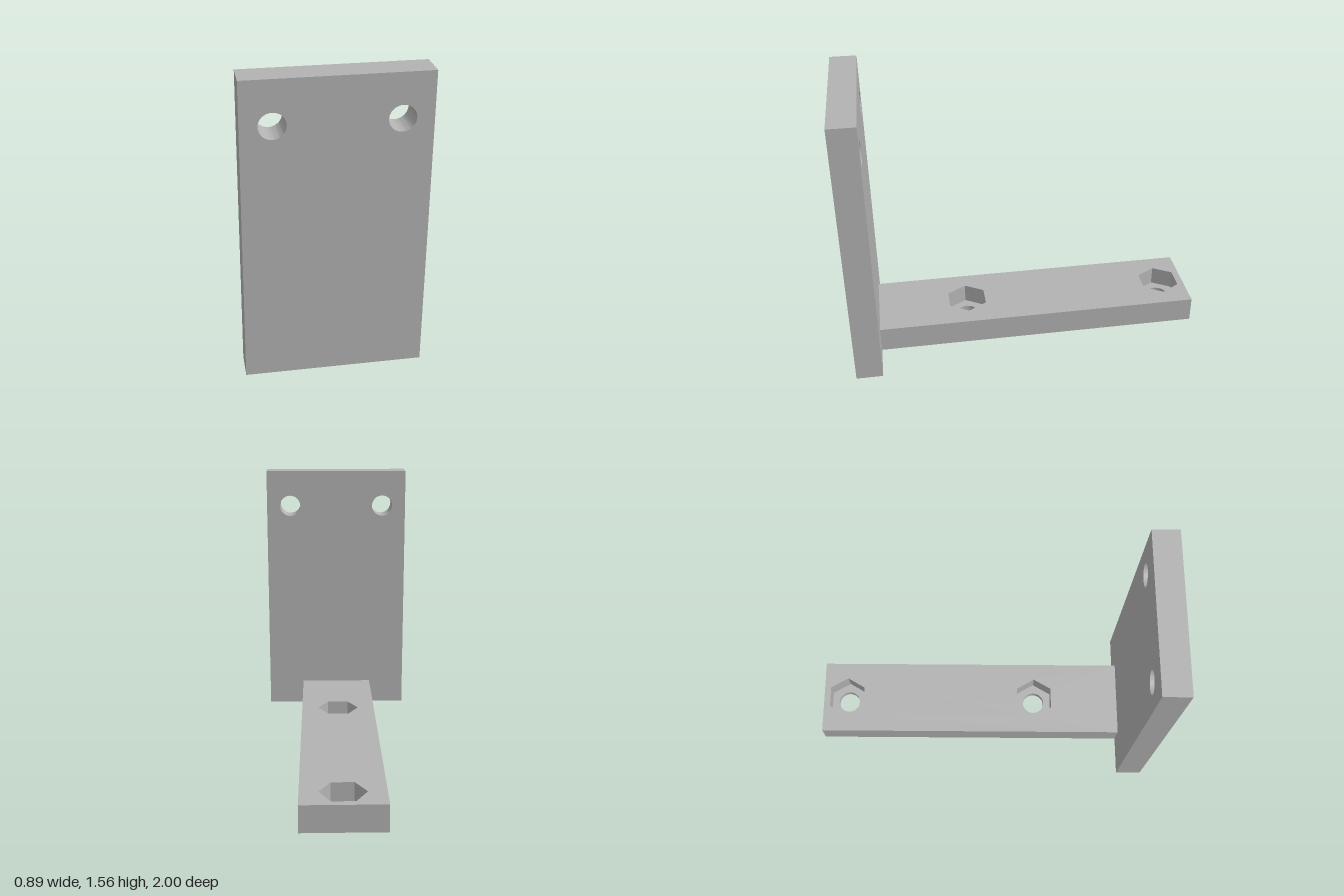
import * as THREE from 'three';
import { toCreasedNormals } from 'three/addons/utils/BufferGeometryUtils.js';

const WIDTH = 0.889, HEIGHT = 1.556, THICK = 0.148;
const ARM_WIDTH = 0.444, FLOOR = 0.037;
const HOLE_R = 0.065, NUT_R = 0.123;
const BACK = -1, PLATE_BACK = 1 - THICK;

function rectangle(x0, y0, x1, y1) {
  return new THREE.Shape([
    new THREE.Vector2(x0, y0), new THREE.Vector2(x1, y0),
    new THREE.Vector2(x1, y1), new THREE.Vector2(x0, y1),
  ]);
}

function roundHole(x, y) {
  return new THREE.Path().absarc(x, y, HOLE_R, 0, Math.PI * 2, true);
}

// Hexagon with two corners pointing sideways
function hexHole(x, y) {
  const points = [];
  for (let i = 0; i < 6; i++) {
    const a = -i * Math.PI / 3;
    points.push(new THREE.Vector2(x + NUT_R * Math.cos(a), y + NUT_R * Math.sin(a)));
  }
  return new THREE.Path(points);
}

function extrude(shape, depth) {
  const geometry = new THREE.ExtrudeGeometry(shape, { depth, bevelEnabled: false, curveSegments: 24 });
  return toCreasedNormals(geometry, Math.PI / 6);
}

export function createModel() {
  const model = new THREE.Group();
  model.name = 'bracket';
  const grey = new THREE.MeshStandardMaterial({ color: 0xb2b2b2 });
  grey.name = 'grey';

  // Upright plate with two screw holes near the top
  const plateShape = rectangle(-WIDTH / 2, 0, WIDTH / 2, HEIGHT);
  for (const side of [-1, 1]) plateShape.holes.push(roundHole(side * 0.296, 1.335));
  const plate = new THREE.Mesh(extrude(plateShape, THICK), grey);
  plate.name = 'uprightPlate';
  plate.position.z = PLATE_BACK;
  model.add(plate);

  // Arm in two layers: round holes below, hexagonal nut pockets above
  const arm = new THREE.Group();
  arm.name = 'arm';
  const layers = [
    ['armFloor', roundHole, 0, FLOOR],
    ['armNutPockets', hexHole, FLOOR, THICK],
  ];
  for (const [name, hole, bottom, top] of layers) {
    const shape = rectangle(-ARM_WIDTH / 2, -PLATE_BACK, ARM_WIDTH / 2, -BACK);
    for (const z of [-0.855, 0.33]) shape.holes.push(hole(0, -z));
    const layer = new THREE.Mesh(extrude(shape, top - bottom).rotateX(-Math.PI / 2), grey);
    layer.name = name;
    layer.position.y = bottom;
    arm.add(layer);
  }
  model.add(arm);
  return model;
}
